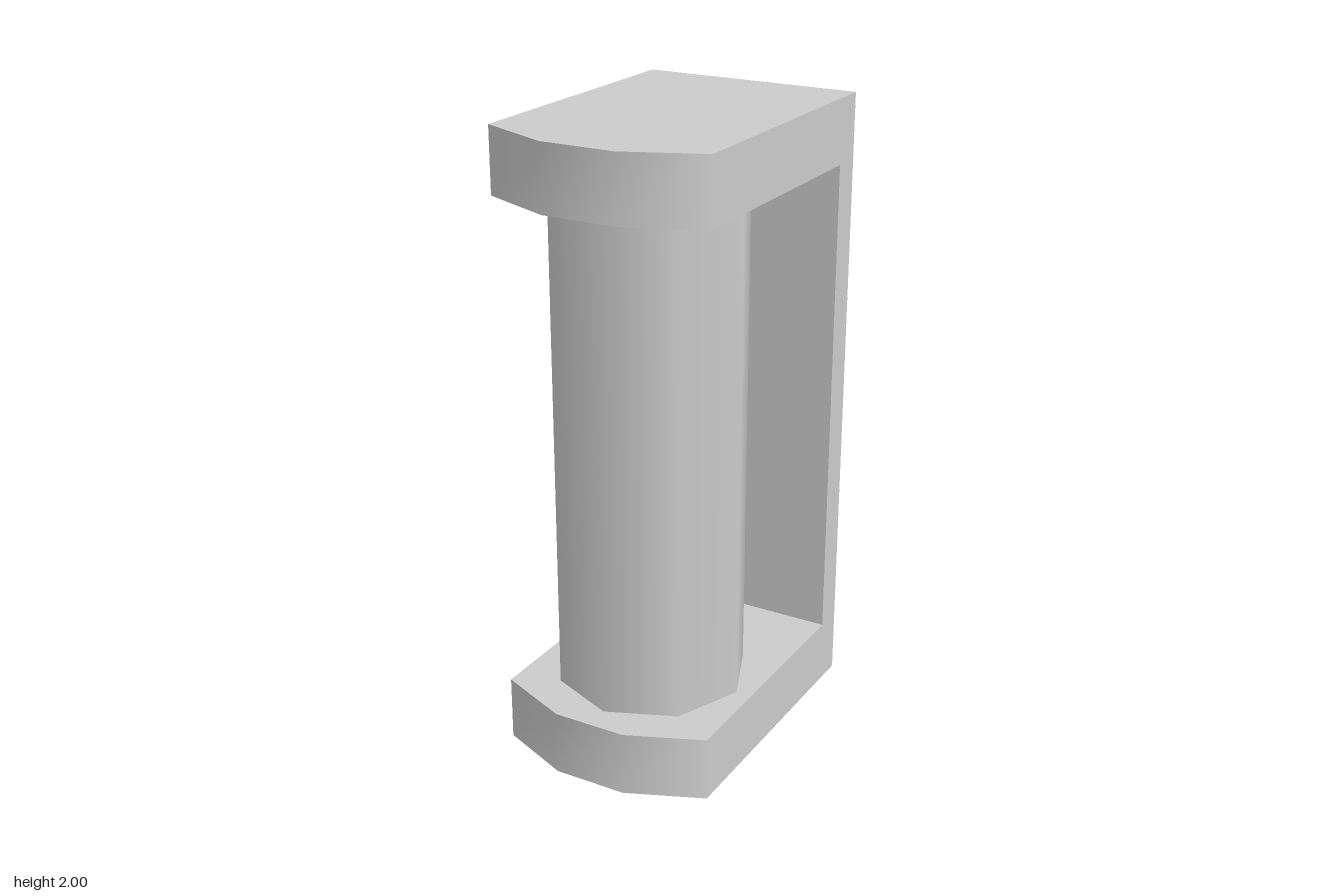
import * as THREE from 'three';
import { toCreasedNormals } from 'three/addons/utils/BufferGeometryUtils.js';

const HALF_WIDTH = 0.357;
const DEPTH = 0.507; // half depth of the frame
const LOW = 0.208, HIGH = 1.795; // inner faces of the two plates

// C-shaped frame: side profile (z, y) swept across the width, front corners cut back
function frameGeometry() {
  const profile = new THREE.Shape([
    [-DEPTH, 0], [DEPTH, 0], [DEPTH, LOW], [-0.41, LOW],
    [-0.41, HIGH], [DEPTH, HIGH], [DEPTH, 2], [-DEPTH, 2],
  ].map(([z, y]) => new THREE.Vector2(z, y)));
  const geo = new THREE.ExtrudeGeometry(profile, {
    depth: 2 * HALF_WIDTH, steps: 3, bevelEnabled: false,
  });
  geo.translate(0, 0, -HALF_WIDTH);
  geo.rotateY(-Math.PI / 2);

  const pos = geo.attributes.position;
  for (let i = 0; i < pos.count; i++) {
    const outer = Math.abs(pos.getX(i)) > HALF_WIDTH - 0.01;
    if (outer && pos.getZ(i) > 0.4) pos.setZ(i, 0.406);
  }
  // Round shading over the front corners, sharp plate edges
  return toCreasedNormals(geo, THREE.MathUtils.degToRad(75));
}

export function createModel() {
  const model = new THREE.Group();
  const grey = new THREE.MeshStandardMaterial({ color: 0xcccccc });

  const frame = new THREE.Mesh(frameGeometry(), grey);
  frame.name = 'frame';

  // Eight-sided smooth column held between the plates
  const column = new THREE.Mesh(
    new THREE.CylinderGeometry(0.305, 0.305, HIGH - LOW, 8), grey);
  column.name = 'column';
  column.position.set(0, (LOW + HIGH) / 2, 0.117);

  model.add(frame, column);
  return model;
}
